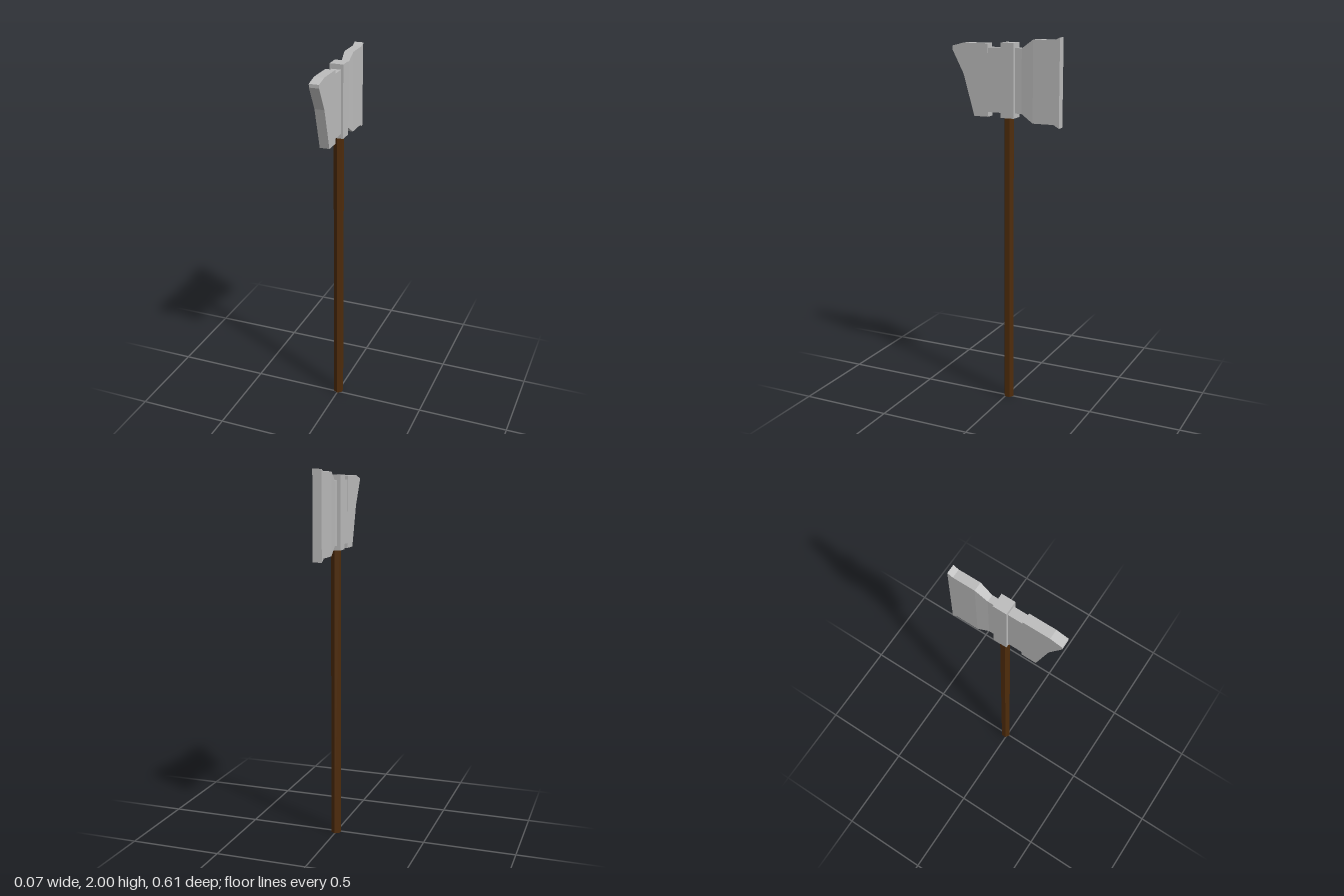
import * as THREE from 'three';

export function createModel() {
  const steel = new THREE.MeshStandardMaterial({ color: 0xbcbcbc });
  steel.name = 'steel grey';
  const wood = new THREE.MeshStandardMaterial({ color: 0x4f2c0b });
  wood.name = 'dark wood';

  const axe = new THREE.Group();
  axe.name = 'axe';

  function add(name, geometry, material) {
    const flat = geometry.index ? geometry.toNonIndexed() : geometry;
    flat.computeVertexNormals();
    const mesh = new THREE.Mesh(flat, material);
    mesh.name = name;
    axe.add(mesh);
  }

  // Box given by its limits on each axis
  function block(x0, x1, y0, y1, z0, z1) {
    return new THREE.BoxGeometry(x1 - x0, y1 - y0, z1 - z0)
      .translate((x0 + x1) / 2, (y0 + y1) / 2, (z0 + z1) / 2);
  }

  // Rectangular sections [z, bottom, top, half width], ordered from back to front
  function loft(sections) {
    const n = sections.length - 1;
    const geometry = new THREE.BoxGeometry(1, 1, 1, 1, 1, n);
    const p = geometry.attributes.position;
    for (let i = 0; i < p.count; i++) {
      const [z, bottom, top, half] = sections[Math.round((p.getZ(i) + 0.5) * n)];
      p.setXYZ(i, Math.sign(p.getX(i)) * half - 0.001, p.getY(i) > 0 ? top : bottom, z);
    }
    return geometry;
  }

  // Six-sided shaft
  add('handle', new THREE.CylinderGeometry(0.027, 0.027, 1.6, 6).translate(0, 0.8, -0.014), wood);

  // Socket block around the shaft and the two necks
  add('socket', block(-0.037, 0.036, 1.58, 1.967, -0.055, 0.018), steel);
  add('frontNeck', block(-0.025, 0.024, 1.605, 1.94, 0.01, 0.1), steel);
  add('backNeck', block(-0.02, 0.018, 1.605, 1.94, -0.1, -0.05), steel);

  // Flared rear blade with a flat edge
  add('backBlade', loft([
    [-0.304, 1.542, 2.0, 0.024],
    [-0.275, 1.56, 1.986, 0.024],
    [-0.158, 1.56, 1.986, 0.024],
    [-0.093, 1.605, 1.94, 0.019],
  ]), steel);

  // Hooked front blade, its outline drawn as (z, y)
  const outline = new THREE.Shape([
    [0.097, 1.58], [0.178, 1.58], [0.24, 1.8], [0.305, 1.925],
    [0.305, 1.943], [0.24, 1.96], [0.097, 1.96],
  ].map(([z, y]) => new THREE.Vector2(z, y)));
  add('frontBlade', new THREE.ExtrudeGeometry(outline, { depth: 0.052, bevelEnabled: false })
    .translate(0, 0, -0.025).rotateY(-Math.PI / 2), steel);

  return axe;
}
